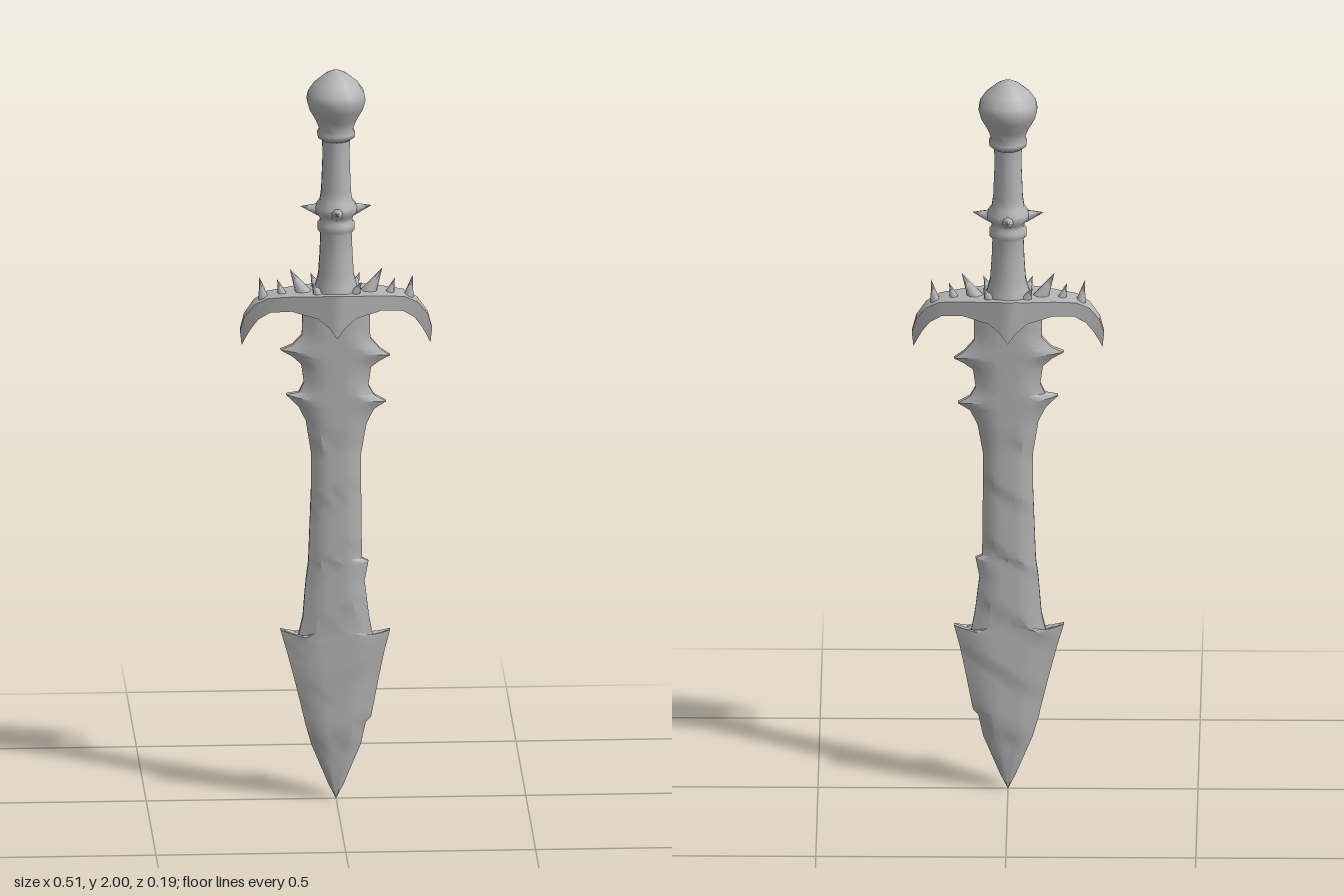
import * as THREE from 'three';
import { toCreasedNormals } from 'three/addons/utils/BufferGeometryUtils.js';

const steel = new THREE.MeshStandardMaterial({ color: 0xb4b4b4 });
steel.name = 'grey steel';

function part(name, geometry, parent) {
  const mesh = new THREE.Mesh(geometry, steel);
  mesh.name = name;
  parent.add(mesh);
  return mesh;
}

// Closed skin over a row of equal-length rings, capped at both ends
function skin(rings, crease) {
  const n = rings[0].length;
  const index = [];
  for (let r = 0; r < rings.length - 1; r++) {
    for (let i = 0; i < n; i++) {
      const a = r * n + i, b = r * n + (i + 1) % n;
      index.push(a, b, a + n, b, b + n, a + n);
    }
  }
  const last = (rings.length - 1) * n;
  for (let i = 1; i < n - 1; i++) {
    index.push(0, i + 1, i, last, last + i, last + i + 1);
  }
  const g = new THREE.BufferGeometry();
  g.setAttribute('position', new THREE.Float32BufferAttribute(rings.flat(2), 3));
  g.setIndex(index);
  return toCreasedNormals(g, crease);
}

// Cone from a base point to a tip
function spike(name, base, tip, radius, parent) {
  const a = new THREE.Vector3(...base), b = new THREE.Vector3(...tip);
  const dir = b.clone().sub(a);
  const mesh = part(name, new THREE.ConeGeometry(radius, dir.length(), 7), parent);
  mesh.position.copy(a).add(b).multiplyScalar(0.5);
  mesh.quaternion.setFromUnitVectors(new THREE.Vector3(0, 1, 0), dir.normalize());
}

// Blade outline: centre y, left-hand edge x and y, right-hand edge x and y
const OUTLINE = [
  [0, 0, 0, 0, 0],
  [0.04, -0.02, 0.04, 0.02, 0.04],
  [0.15, -0.065, 0.15, 0.065, 0.15],
  [0.21, -0.082, 0.21, 0.078, 0.21],
  [0.225, -0.085, 0.225, 0.092, 0.225],
  [0.31, -0.105, 0.31, 0.108, 0.31],
  [0.4, -0.128, 0.4, 0.126, 0.4],
  [0.44, -0.147, 0.467, 0.142, 0.463],
  [0.455, -0.122, 0.455, 0.118, 0.452],
  [0.465, -0.1, 0.447, 0.097, 0.447],
  [0.5, -0.088, 0.5, 0.087, 0.5],
  [0.6, -0.08, 0.6, 0.075, 0.6],
  [0.645, -0.074, 0.645, 0.085, 0.652],
  [0.66, -0.073, 0.66, 0.068, 0.66],
  [0.85, -0.066, 0.85, 0.066, 0.85],
  [0.95, -0.066, 0.95, 0.066, 0.95],
  [1.03, -0.08, 1.04, 0.08, 1.03],
  [1.075, -0.1, 1.08, 0.1, 1.07],
  [1.095, -0.132, 1.112, 0.132, 1.09],
  [1.115, -0.098, 1.118, 0.1, 1.108],
  [1.14, -0.085, 1.145, 0.085, 1.135],
  [1.19, -0.092, 1.195, 0.092, 1.185],
  [1.212, -0.115, 1.216, 0.115, 1.202],
  [1.225, -0.147, 1.235, 0.142, 1.216],
  [1.245, -0.115, 1.248, 0.115, 1.235],
  [1.27, -0.09, 1.275, 0.09, 1.265],
  [1.38, -0.088, 1.38, 0.088, 1.38],
];

function bladeGeometry() {
  // Split long stretches so the slanted chipping has rows to follow
  const rows = [];
  OUTLINE.forEach((row, k) => {
    const next = OUTLINE[k + 1];
    if (!next) return rows.push(row);
    const steps = Math.max(1, Math.round((next[0] - row[0]) / 0.025));
    for (let s = 0; s < steps; s++) {
      rows.push(row.map((v, j) => THREE.MathUtils.lerp(v, next[j], s / steps)));
    }
  });
  const columns = [-1, -0.8, -0.55, -0.28, 0, 0.28, 0.55, 0.8, 1];
  const rings = rows.map(([yc, xl, yl, xr, yr]) => {
    const side = (sign) => columns.map((u) => {
      const x = u < 0 ? -u * xl : u * xr;
      const edgeY = u < 0 ? yl : yr;
      const y = yc + (edgeY - yc) * u * u;
      const bevel = 1 - 0.7 * Math.max(0, (Math.abs(u) - 0.5) / 0.5);
      const taper = Math.min(1, 0.15 + y / 0.22);
      // Slanted worn steps across the lower blade
      const slant = (y - 0.65 * x + 0.02) / 0.17;
      const chip = y < 1.0 && y > 0.1 ? 0.2 * (slant - Math.floor(slant)) : 0.06;
      return [x, y, sign * 0.028 * bevel * taper * (1 - chip)];
    });
    return [...side(1), ...side(-1).reverse()];
  });
  return skin(rings, 0.45);
}

// Crossguard stations: top x and y, bottom x and y, half depth
const GUARD = [
  [0, 1.4, 0, 1.282, 0.077],
  [0.02, 1.399, 0.02, 1.31, 0.072],
  [0.05, 1.396, 0.05, 1.335, 0.065],
  [0.12, 1.392, 0.12, 1.352, 0.049],
  [0.18, 1.385, 0.175, 1.346, 0.036],
  [0.215, 1.366, 0.205, 1.326, 0.027],
  [0.242, 1.33, 0.225, 1.297, 0.017],
  [0.253, 1.29, 0.24, 1.268, 0.008],
  [0.249, 1.25, 0.248, 1.249, 0.001],
];

function guardGeometry() {
  const left = GUARD.slice(1).reverse().map(([a, b, c, d, z]) => [-a, b, -c, d, z]);
  const rings = [...left, ...GUARD].map(([xt, yt, xb, yb, z]) => [
    [xt, yt, -z], [xt, yt, z], [xb, yb, z], [xb, yb, -z],
  ]);
  return skin(rings, 0.5);
}

function lathe(points) {
  return new THREE.LatheGeometry(points.map(([r, y]) => new THREE.Vector2(r, y)), 14);
}

export function createModel() {
  const sword = new THREE.Group();
  sword.name = 'sword';

  part('blade', bladeGeometry(), sword);
  part('crossguard', guardGeometry(), sword);

  // Handle with its flared foot and ringed collar
  part('handle', lathe([
    [0.062, 1.385], [0.055, 1.415], [0.048, 1.44], [0.044, 1.5], [0.042, 1.555],
    [0.05, 1.565], [0.05, 1.58], [0.043, 1.588], [0.045, 1.6], [0.056, 1.612],
    [0.056, 1.628], [0.044, 1.645], [0.04, 1.67], [0.036, 1.77], [0.038, 1.82],
  ]), sword);
  part('pommel', lathe([
    [0.036, 1.808], [0.049, 1.817], [0.051, 1.828], [0.045, 1.84], [0.055, 1.865],
    [0.072, 1.895], [0.079, 1.92], [0.075, 1.94], [0.058, 1.965], [0.03, 1.988],
    [0.012, 1.997], [0, 2],
  ]), sword);

  // Four thorns around the collar
  for (let i = 0; i < 4; i++) {
    const s = Math.sin(i * Math.PI / 2), c = Math.cos(i * Math.PI / 2);
    spike('collarThorn', [s * 0.045, 1.617, c * 0.045], [s * 0.094, 1.627, c * 0.094], 0.018, sword);
  }

  // Thorns along the top of the guard, and short ones round the handle foot
  for (const m of [-1, 1]) {
    spike('guardThorn', [m * 0.082, 1.38, 0], [m * 0.122, 1.455, 0], 0.024, sword);
    spike('guardThorn', [m * 0.14, 1.38, 0], [m * 0.155, 1.427, 0], 0.014, sword);
    spike('guardThorn', [m * 0.19, 1.37, 0], [m * 0.202, 1.435, 0], 0.015, sword);
    for (const f of [-1, 1]) {
      spike('footThorn', [m * 0.045, 1.385, f * 0.03], [m * 0.065, 1.43, f * 0.045], 0.018, sword);
    }
  }
  return sword;
}
